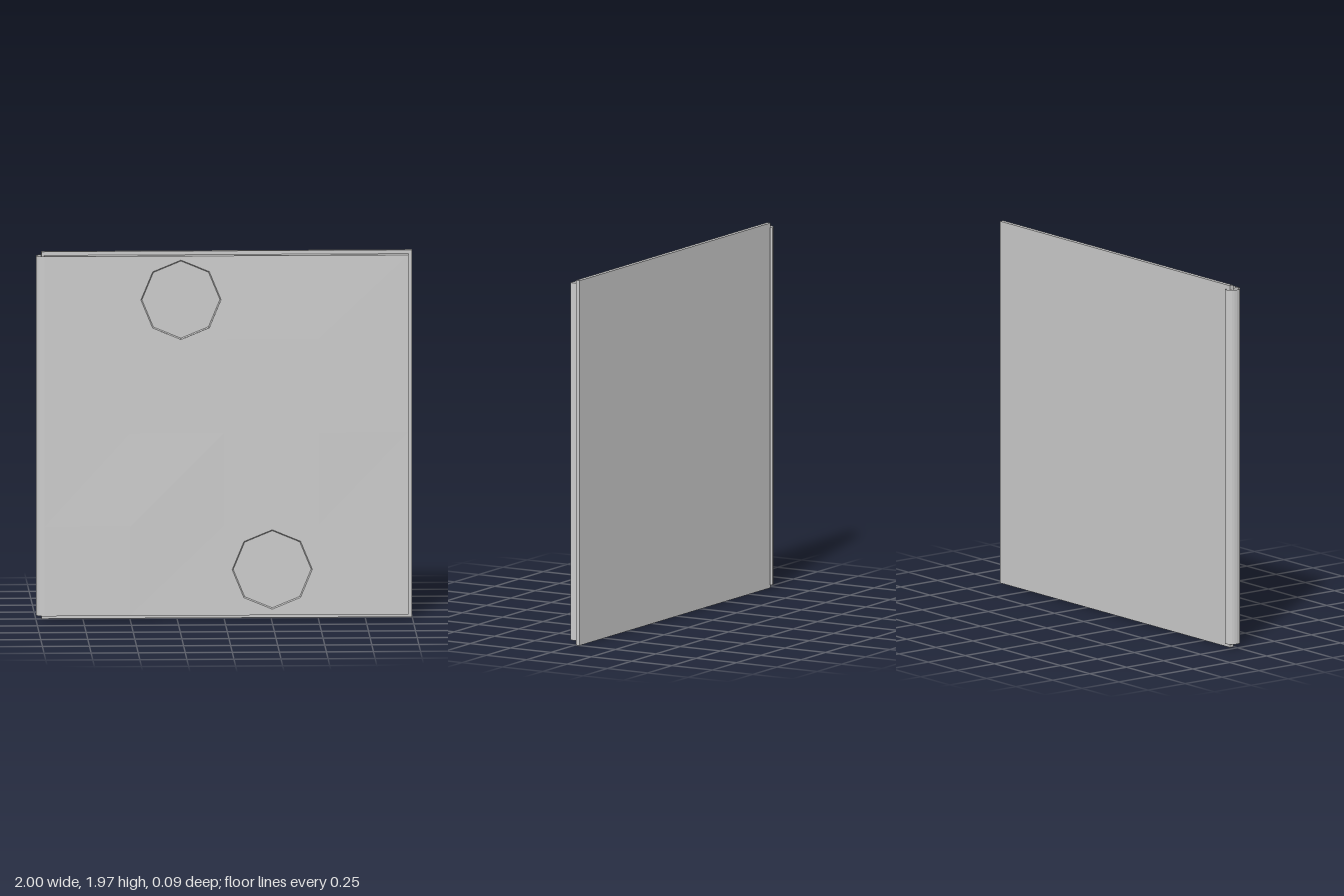
import * as THREE from 'three';

const FACE_Z = 0.042, BACK_Z = -0.004;
const XS = [-0.955, -0.5, 0, 0.5, 0.98];
const YS = [0.02, 0.5, 1, 1.5, 1.95];

const material = () => new THREE.MeshStandardMaterial({ color: 0xcccccc, flatShading: true, side: THREE.DoubleSide });

function addMesh(parent, name, geometry) {
  const mesh = new THREE.Mesh(geometry, material());
  mesh.name = name;
  parent.add(mesh);
  return mesh;
}

function rectangle(x0, y0, x1, y1) {
  return [[x0, y0], [x1, y0], [x1, y1], [x0, y1]].map(([x, y]) => new THREE.Vector2(x, y));
}

function octagon(cx, cy, r) {
  return Array.from({ length: 8 }, (_, i) => {
    const a = i * Math.PI / 4;
    return new THREE.Vector2(cx + r * Math.cos(a), cy + r * Math.sin(a));
  });
}

// slight outward dents at a few grid corners
function dent(i, j) {
  const raised = (i === 1 && j === 1) || ((i === 2 || i === 3) && (j === 2 || j === 3));
  return raised ? 0.004 : 0;
}

// octagonal recesses, each inside one cell of the face grid
const RECESSES = [
  { i: 1, j: 3, x: -0.23, y: 1.715, r: 0.213 },
  { i: 2, j: 0, x: 0.255, y: 0.265, r: 0.213 },
];

export function createModel() {
  const group = new THREE.Group();

  // flat back sheet
  const back = addMesh(group, 'backSheet', new THREE.BoxGeometry(1.97, 1.97, 0.023));
  back.position.set(0.015, 0.985, -0.0155);

  // thin edge walls of the front panel
  const frame = new THREE.Shape(rectangle(XS[0], YS[0], XS[4], YS[4]));
  frame.holes.push(new THREE.Path(rectangle(XS[0] + 0.005, YS[0] + 0.005, XS[4] - 0.005, YS[4] - 0.005).reverse()));
  const edges = addMesh(group, 'frontPanelEdges',
    new THREE.ExtrudeGeometry(frame, { depth: FACE_Z - BACK_Z - 0.0005, bevelEnabled: false }));
  edges.position.z = BACK_Z;

  // front face: a 4 x 4 grid of slightly dented cells
  const face = new THREE.Group();
  face.name = 'frontFace';
  group.add(face);
  for (let i = 0; i < 4; i++) {
    for (let j = 0; j < 4; j++) {
      const shape = new THREE.Shape(rectangle(XS[i], YS[j], XS[i + 1], YS[j + 1]));
      const recess = RECESSES.find((r) => r.i === i && r.j === j);
      if (recess) shape.holes.push(new THREE.Path(octagon(recess.x, recess.y, recess.r).reverse()));
      const geometry = new THREE.ShapeGeometry(shape);
      const p = geometry.attributes.position;
      for (let k = 0; k < p.count; k++) {
        const u = (p.getX(k) - XS[i]) / (XS[i + 1] - XS[i]);
        const v = (p.getY(k) - YS[j]) / (YS[j + 1] - YS[j]);
        const low = THREE.MathUtils.lerp(dent(i, j), dent(i + 1, j), u);
        const high = THREE.MathUtils.lerp(dent(i, j + 1), dent(i + 1, j + 1), u);
        p.setZ(k, FACE_Z + THREE.MathUtils.lerp(low, high, v));
      }
      geometry.computeVertexNormals();
      addMesh(face, 'facePanel', geometry);
    }
  }

  // recess floors and sloping walls
  for (const { x, y, r } of RECESSES) {
    const inner = r - 0.006, depth = 0.008;
    const floor = addMesh(group, 'recessFloor', new THREE.CircleGeometry(inner, 8));
    floor.position.set(x, y, FACE_Z - depth);
    const wallGeometry = new THREE.CylinderGeometry(r, inner, depth, 8, 1, true);
    wallGeometry.rotateY(Math.PI / 2).rotateX(Math.PI / 2);
    const wall = addMesh(group, 'recessWall', wallGeometry);
    wall.position.set(x, y, FACE_Z - depth / 2);
  }

  // rolled edge curling from the front face round to the back
  const height = YS[4] - YS[0], middle = (YS[4] + YS[0]) / 2;
  const roll = addMesh(group, 'rolledEdge',
    new THREE.CylinderGeometry(0.0445, 0.0445, height, 10, 1, true, Math.PI, Math.PI));
  roll.position.set(-0.955, middle, -0.0025);
  const lip = addMesh(group, 'rolledEdgeLip', new THREE.PlaneGeometry(0.014, height));
  lip.rotation.y = -Math.PI / 2 + 0.45;
  lip.position.set(-0.952, middle, -0.0405);

  return group;
}
